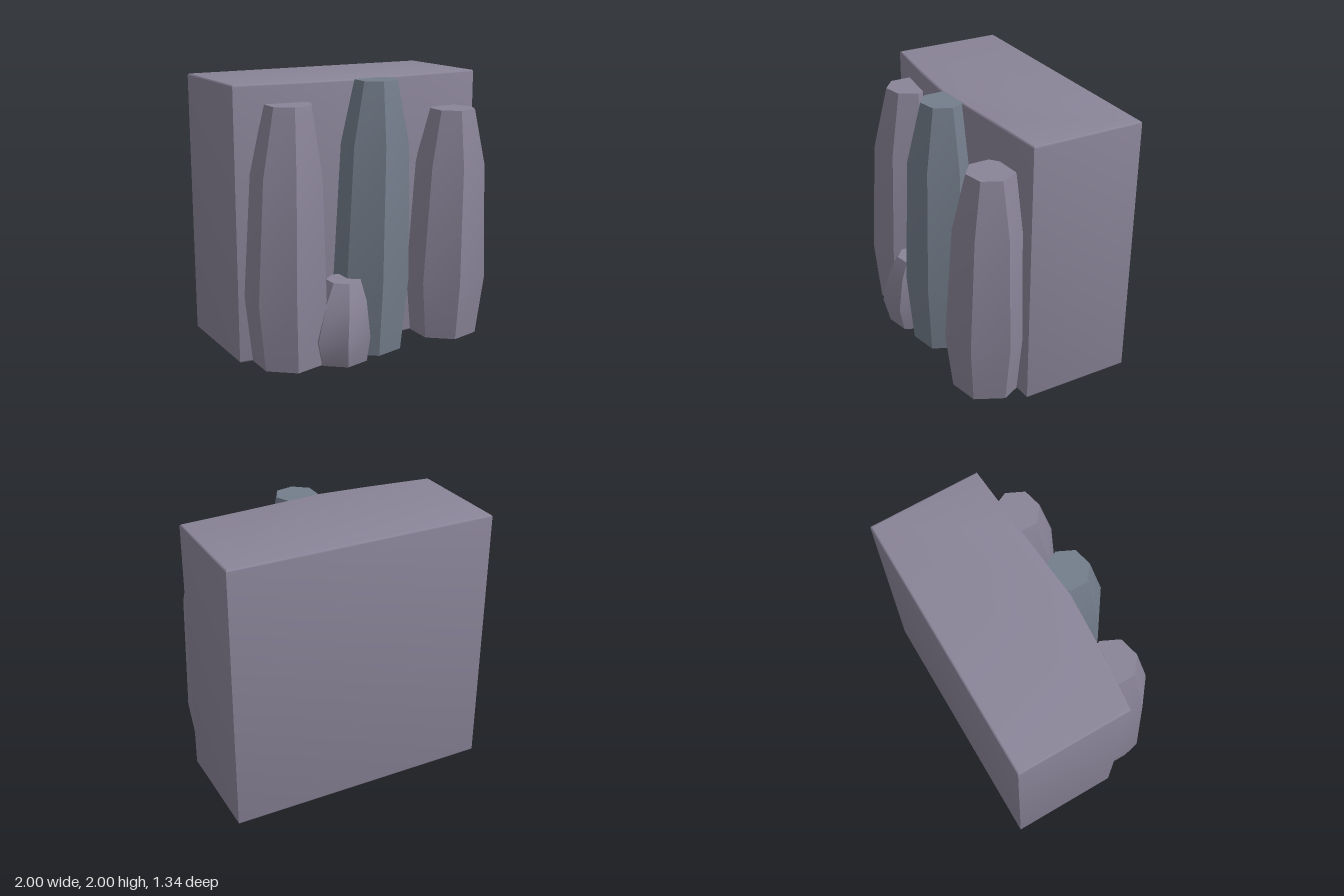
import * as THREE from 'three';
import { toCreasedNormals } from 'three/addons/utils/BufferGeometryUtils.js';

const CREASE = 0.65;
const stone = new THREE.MeshStandardMaterial({ color: 0x8a8498 });
const blueStone = new THREE.MeshStandardMaterial({ color: 0x737d8b });

// Seven-sided tapering column; rings run from top to bottom as [y, radius, x, z]
function column(name, material, rings) {
  const geometry = new THREE.CylinderGeometry(1, 1, 1, 7, rings.length - 1).rotateY(Math.PI / 2);
  const p = geometry.attributes.position;
  for (let i = 0; i < p.count; i++) {
    const [y, r, x, z] = rings[Math.round((0.5 - p.getY(i)) * (rings.length - 1))];
    p.setXYZ(i, x + p.getX(i) * r, y, z + p.getZ(i) * r);
  }
  const mesh = new THREE.Mesh(toCreasedNormals(geometry, CREASE), material);
  mesh.name = name;
  return mesh;
}

// Block with a softly bulging front face and small bevelled edges
function block() {
  const bevel = 0.015;
  const plan = [[-1, -0.67], [1, -0.67], [1, 0.165], [0.5, 0.2], [0.2, 0.225], [-0.1, 0.25], [-0.5, 0.22], [-1, 0.165]];
  const shape = new THREE.Shape(plan.map(([x, z]) => new THREE.Vector2(x, -z)));
  const geometry = new THREE.ExtrudeGeometry(shape, {
    depth: 2 - 2 * bevel, bevelEnabled: true, bevelSize: bevel,
    bevelThickness: bevel, bevelOffset: -bevel, bevelSegments: 3,
  });
  geometry.rotateX(-Math.PI / 2).translate(0, bevel, 0);
  const mesh = new THREE.Mesh(toCreasedNormals(geometry, CREASE), stone);
  mesh.name = 'rockBlock';
  return mesh;
}

export function createModel() {
  const group = new THREE.Group();
  group.name = 'basaltCliff';
  group.add(
    block(),
    column('rightColumn', stone, [
      [1.86, 0.17, -0.63, 0.27], [1.38, 0.265, -0.655, 0.28], [0.5, 0.31, -0.675, 0.28], [0.005, 0.27, -0.66, 0.28]]),
    column('middleColumn', blueStone, [
      [1.998, 0.158, 0.04, 0.32], [1.55, 0.26, 0.025, 0.32], [0.57, 0.3, 0, 0.31], [0.005, 0.25, -0.01, 0.31]]),
    column('leftColumn', stone, [
      [1.745, 0.17, 0.71, 0.315], [1.34, 0.266, 0.7, 0.31], [0.46, 0.318, 0.672, 0.305], [0.005, 0.263, 0.667, 0.305]]),
    column('shortColumn', stone, [
      [0.6, 0.13, -0.29, 0.43], [0.46, 0.19, -0.31, 0.435], [0.2, 0.245, -0.335, 0.43], [0.005, 0.21, -0.32, 0.42]]),
  );
  return group;
}
